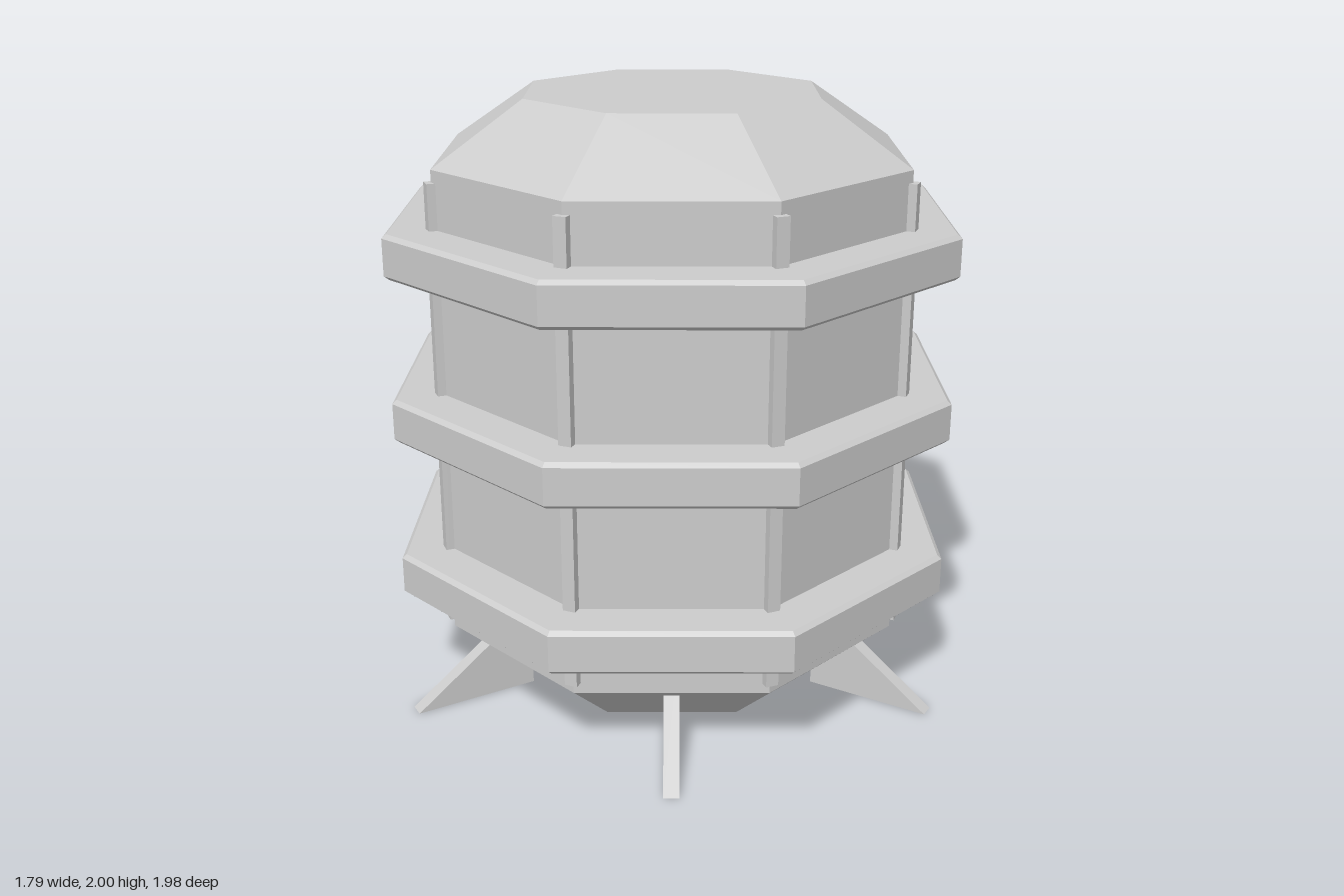
import * as THREE from 'three';

const EIGHTH = Math.PI / 4;

// Faceted octagonal solid; profile is [apothem, y] from bottom to top
function octagon(profile) {
  const pts = profile.map(([a, y]) => new THREE.Vector2(a / Math.cos(EIGHTH / 2), y));
  const geo = new THREE.LatheGeometry(pts, 8, EIGHTH / 2).toNonIndexed();
  geo.computeVertexNormals();
  return geo;
}

export function createModel() {
  const model = new THREE.Group();
  model.name = 'barrel';
  const grey = new THREE.MeshStandardMaterial({ color: 0xcccccc });
  grey.name = 'light grey';

  const add = (name, geo) => {
    const mesh = new THREE.Mesh(geo, grey);
    mesh.name = name;
    model.add(mesh);
    return mesh;
  };

  // Main tank with tapered top and bottom
  add('body', octagon([[0, 0.01], [0.52, 0.01], [0.745, 0.22], [0.745, 1.8], [0.465, 2], [0, 2]]));

  // Three hoops with chamfered rims
  for (const y of [0.445, 0.993, 1.538]) {
    add('hoop', octagon([
      [0.72, y - 0.073], [0.883, y - 0.073], [0.897, y - 0.06],
      [0.897, y + 0.06], [0.883, y + 0.073], [0.72, y + 0.073],
    ]));
  }

  // Upright ribs on the eight corners
  const ribGeo = new THREE.BoxGeometry(0.042, 1.505, 0.045);
  for (let i = 0; i < 8; i++) {
    const a = (i + 0.5) * EIGHTH;
    const rib = add('rib', ribGeo);
    rib.position.set(Math.sin(a) * 0.803, 1.008, Math.cos(a) * 0.803);
    rib.rotation.y = a;
  }

  // Six triangular feet, running into the body
  const foot = new THREE.Shape([
    new THREE.Vector2(0.57, 0), new THREE.Vector2(0.99, 0), new THREE.Vector2(0.57, 0.3),
  ]);
  const footGeo = new THREE.ExtrudeGeometry(foot, { depth: 0.05, bevelEnabled: false });
  footGeo.translate(0, 0, -0.025);
  for (let i = 0; i < 6; i++) {
    add('foot', footGeo).rotation.y = Math.PI / 2 + (i * Math.PI) / 3;
  }

  return model;
}
